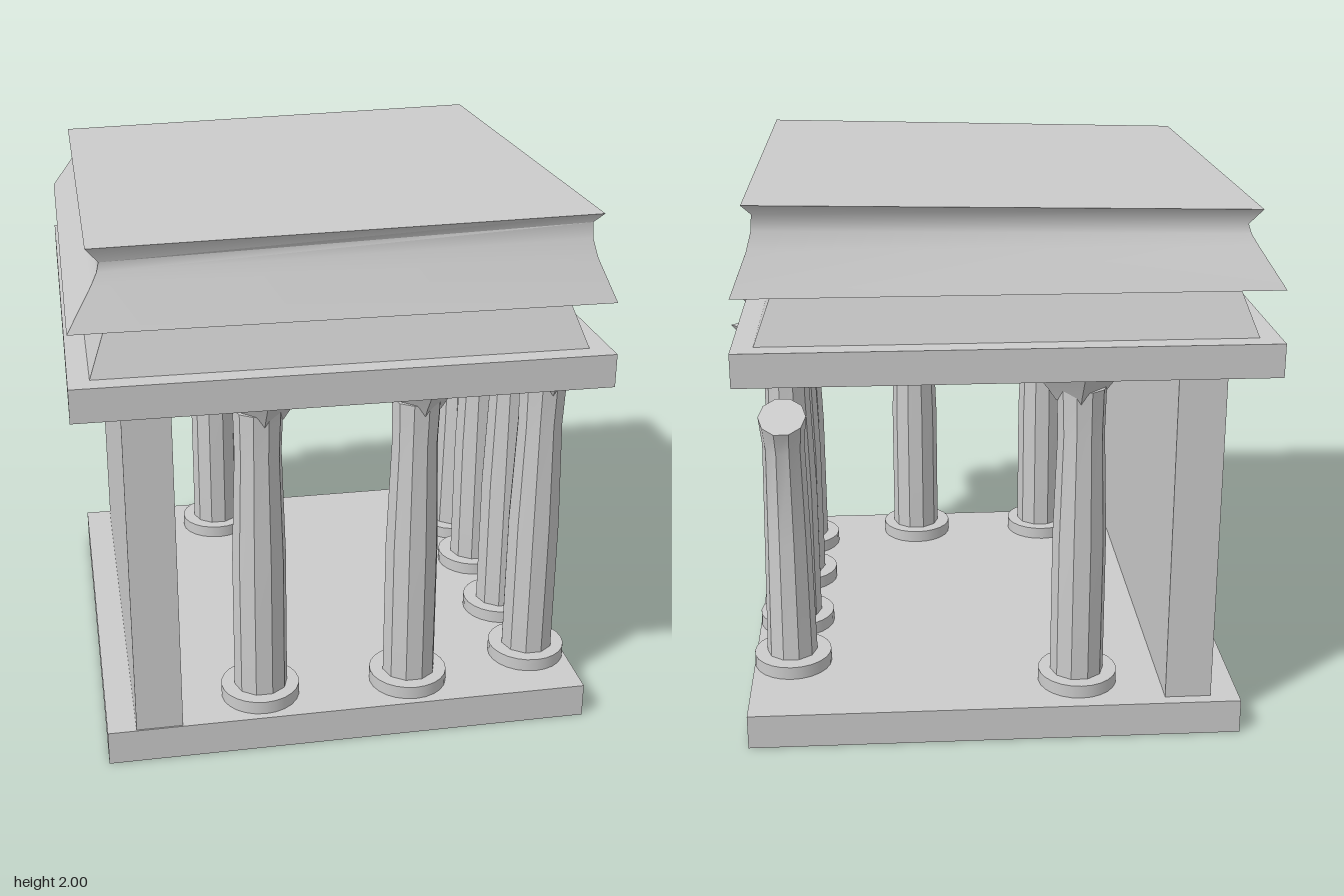
import * as THREE from 'three';
import { toCreasedNormals } from 'three/addons/utils/BufferGeometryUtils.js';

const stone = new THREE.MeshStandardMaterial({ color: 0xcccccc });

// Closed solid through a stack of rings, each counterclockwise seen from above
function skin(rings, crease) {
  const pos = [];
  const tri = (...pts) => pts.forEach((p) => pos.push(p.x, p.y, p.z));
  const n = rings[0].length;
  for (let k = 0; k < rings.length - 1; k++) {
    const lo = rings[k], hi = rings[k + 1];
    for (let i = 0; i < n; i++) {
      const j = (i + 1) % n;
      tri(lo[i], lo[j], hi[j]);
      tri(lo[i], hi[j], hi[i]);
    }
  }
  const first = rings[0], last = rings[rings.length - 1];
  for (let i = 1; i < n - 1; i++) {
    tri(first[0], first[i + 1], first[i]);
    tri(last[0], last[i], last[i + 1]);
  }
  const geo = new THREE.BufferGeometry();
  geo.setAttribute('position', new THREE.Float32BufferAttribute(pos, 3));
  return toCreasedNormals(geo, crease);
}

// Regular polygon ring; tilt raises its +z side
function ring(n, y, r, cx = 0, cz = 0, tilt = 0) {
  return Array.from({ length: n }, (_, i) => {
    const a = (i / n) * Math.PI * 2;
    const dz = -r * Math.sin(a);
    return new THREE.Vector3(cx + r * Math.cos(a), y + tilt * dz, cz + dz);
  });
}

// Rectangular ring with its own height and half depth at the -x and +x ends
function rect([x0, x1, y0, y1, z0, z1]) {
  return [[x1, y1, -z1], [x0, y0, -z0], [x0, y0, z0], [x1, y1, z1]]
    .map((p) => new THREE.Vector3(...p));
}

function add(parent, name, geo) {
  const mesh = new THREE.Mesh(geo, stone);
  mesh.name = name;
  parent.add(mesh);
  return mesh;
}

function slab(parent, name, [x0, x1], [y0, y1], [z0, z1]) {
  add(parent, name, new THREE.BoxGeometry(x1 - x0, y1 - y0, z1 - z0))
    .position.set((x0 + x1) / 2, (y0 + y1) / 2, (z0 + z1) / 2);
}

export function createModel() {
  const model = new THREE.Group();
  model.name = 'ruinedTemple';

  // Floor, side wall and beam slab
  slab(model, 'floor', [-0.905, 0.905], [0, 0.13], [-0.925, 0.886]);
  slab(model, 'sideWall', [-0.8, -0.63], [0.12, 1.41], [-0.88, 0.88]);
  slab(model, 'beamSlab', [-0.968, 0.89], [1.4, 1.52], [-0.982, 0.982]);

  // Tapered tier
  add(model, 'frieze', skin([
    [-0.895, 0.816, 1.52, 1.52, 0.908, 0.908],
    [-0.825, 0.747, 1.705, 1.705, 0.834, 0.834],
  ].map(rect), 0.5));

  // Concave cornice with a sloping top
  add(model, 'corniceRoof', skin([
    [-0.96, 0.88, 1.703, 1.703, 0.974, 0.974],
    [-0.872, 0.823, 1.84, 1.845, 0.9, 0.908],
    [-0.852, 0.806, 1.875, 1.91, 0.875, 0.893],
    [-0.844, 0.802, 1.905, 1.965, 0.862, 0.891],
    [-0.886, 0.833, 1.96, 2.0, 0.893, 0.917],
  ].map(rect), 1.0));

  // Shared column parts
  const footGeo = new THREE.CylinderGeometry(0.147, 0.147, 0.055, 24);
  const shaftGeo = skin([
    ring(10, 0.17, 0.1, 0.003, 0),
    ring(10, 0.72, 0.099, 0.003, 0),
    ring(10, 1.13, 0.085, 0.004, 0),
    ring(10, 1.3, 0.09, 0.006, 0),
  ], 0.5);
  const capitalGeo = skin([
    ring(4, 1.25, 0.08), ring(4, 1.29, 0.107), ring(4, 1.388, 0.187),
  ], 0.3);
  // Snapped, leaning shaft
  const brokenGeo = skin([
    ring(10, 0.17, 0.096, 0.003, 0.005),
    ring(10, 0.65, 0.087, 0.003, 0.022, 0.05),
    ring(10, 1.02, 0.078, 0.004, 0.02, 0.2),
    ring(10, 1.135, 0.088, 0.004, -0.006, 0.48),
  ], 0.5);

  const columns = [
    ['frontColumn', -0.32, 0.712], ['frontColumn', 0.252, 0.712],
    ['sideColumn', 0.757, 0.606], ['sideColumn', 0.757, 0.238],
    ['sideColumn', 0.757, -0.175], ['brokenColumn', 0.757, -0.516],
    ['backColumn', -0.32, -0.722],
  ];
  for (const [name, x, z] of columns) {
    const column = new THREE.Group();
    column.name = name;
    column.position.set(x, 0, z);
    add(column, 'foot', footGeo).position.y = 0.152;
    const broken = name === 'brokenColumn';
    add(column, 'shaft', broken ? brokenGeo : shaftGeo);
    if (!broken) add(column, 'capital', capitalGeo).position.x = 0.018;
    model.add(column);
  }
  return model;
}
